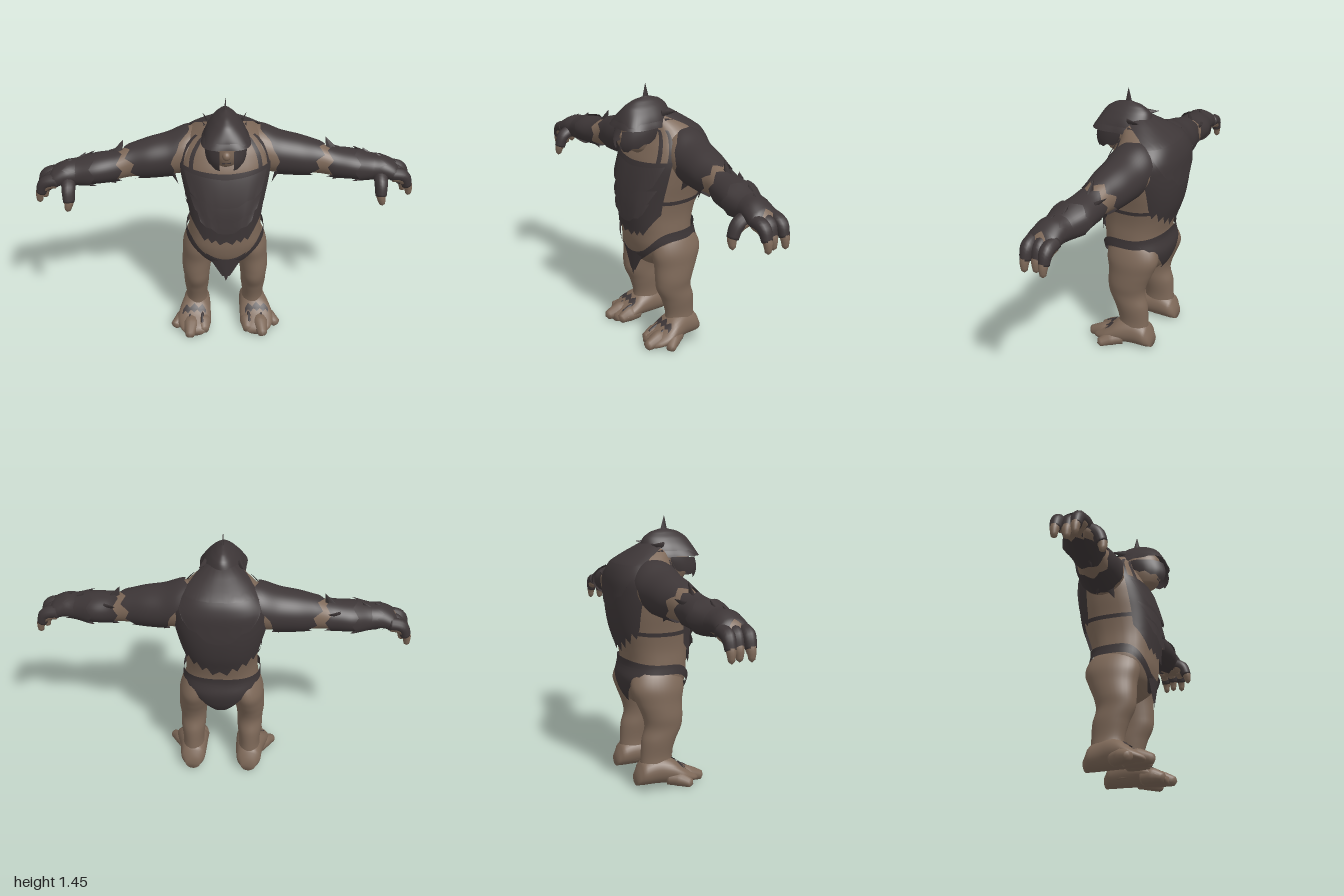
import * as THREE from 'three';
import { mergeVertices } from 'three/addons/utils/BufferGeometryUtils.js';

const { sin, cos, abs, max, min, sign, PI } = Math;
const flat = (name, color) => Object.assign(new THREE.MeshStandardMaterial({ color, side: THREE.DoubleSide }), { name });

// Grid surface from f(u, v) -> [x, y, z], with u and v in 0..1
function patch(name, mat, nu, nv, f) {
  const pos = [], idx = [];
  for (let j = 0; j <= nv; j++) for (let i = 0; i <= nu; i++) pos.push(...f(i / nu, j / nv));
  for (let j = 0; j < nv; j++) for (let i = 0; i < nu; i++) {
    const a = j * (nu + 1) + i, b = a + nu + 1;
    idx.push(a, a + 1, b, b, a + 1, b + 1);
  }
  let g = new THREE.BufferGeometry();
  g.setAttribute('position', new THREE.Float32BufferAttribute(pos, 3));
  g.setIndex(idx);
  g = mergeVertices(g, 1e-5);
  g.computeVertexNormals();
  const mesh = new THREE.Mesh(g, mat);
  mesh.name = name;
  return mesh;
}

// Smooth limb surface through sections [main, centre1, centre2, radius1, radius2]; power below 1 squares them
function limb(axis, rows, power = 1) {
  const at = (m, a, off = 0, k = 1) => {
    let i = 0;
    while (i < rows.length - 2 && m > rows[i + 1][0]) i++;
    const t = min(1, max(0, (m - rows[i][0]) / (rows[i + 1][0] - rows[i][0])));
    const [p, q, r, s] = [-1, 0, 1, 2].map(d => rows[min(rows.length - 1, max(0, i + d))]);
    const [c1, c2, r1, r2] = [1, 2, 3, 4].map(n =>
      q[n] + 0.5 * t * (r[n] - p[n] + t * (2 * p[n] - 5 * q[n] + 4 * r[n] - s[n] + t * (3 * (q[n] - r[n]) + s[n] - p[n]))));
    const A = k * (r1 + off), B = k * (r2 + off);
    const S = sign(sin(a)) * abs(sin(a)) ** power, C = sign(cos(a)) * abs(cos(a)) ** power;
    if (axis === 'y') return [c1 + S * A, m, c2 + C * B];
    if (axis === 'x') return [m, c1 + C * A, c2 + S * B];
    return [c1 + S * A, max(0, c2 + C * B), m];
  };
  at.lo = rows[0][0];
  at.hi = rows[rows.length - 1][0];
  return at;
}
const solid = (name, mat, s, nv = 40) => patch(name, mat, 32, nv, (u, v) => {
  const w = min(1, max(0, (v * nv - 1) / (nv - 2)));
  return s(s.lo + (s.hi - s.lo) * w, u * 2 * PI, 0, v === 0 || v === 1 ? 0 : 1);
});
// Armour shell lying on a limb; angle(u, v), start(u) and end(u) give its outline
const shell = (name, mat, s, angle, start, end, off = 0.014, nu = 48, nv = 20) => patch(name, mat, nu, nv,
  (u, v) => s(start(u) + (end(u) - start(u)) * v, angle(u, v), typeof off === 'function' ? off(u, v) : off));
const zig = (u, n) => abs(((u * n) % 1) * 2 - 1);

// Tapered rounded digit along a few points
function digit(name, mat, pts, radii) {
  const curve = new THREE.CatmullRomCurve3(pts.map(p => new THREE.Vector3(...p)));
  const n = 14, fr = curve.computeFrenetFrames(n);
  return patch(name, mat, 12, n, (u, v) => {
    const i = Math.round(v * n), e = v * (radii.length - 1), j = min(radii.length - 2, Math.floor(e));
    const r = i === 0 || i === n ? 0 : radii[j] + (radii[j + 1] - radii[j]) * (e - j);
    const p = curve.getPointAt(v).addScaledVector(fr.normals[i], r * cos(u * 2 * PI))
      .addScaledVector(fr.binormals[i], r * sin(u * 2 * PI));
    return [p.x, max(0, p.y), p.z];
  });
}
// Flattened spike from a base point to a tip
function spike(mat, from, to, r, flatX, flatZ) {
  const a = new THREE.Vector3(...from), d = new THREE.Vector3(...to).sub(a);
  const g = new THREE.ConeGeometry(r, d.length(), 6).translate(0, d.length() / 2, 0).scale(flatX, 1, flatZ);
  const m = new THREE.Mesh(g, mat);
  m.name = 'spike';
  m.position.copy(a);
  m.quaternion.setFromUnitVectors(new THREE.Vector3(0, 1, 0), d.normalize());
  return m;
}

const torso = limb('y', [
  [0.4, 0, -0.02, 0.05, 0.05], [0.44, 0, -0.015, 0.09, 0.11], [0.5, 0, -0.005, 0.16, 0.155], [0.58, 0, -0.003, 0.2, 0.175],
  [0.66, 0, 0.006, 0.198, 0.17], [0.75, 0, 0, 0.196, 0.182], [0.85, 0, -0.015, 0.21, 0.198], [0.95, 0, -0.028, 0.232, 0.2],
  [1.05, 0, -0.04, 0.248, 0.19], [1.13, 0, -0.055, 0.24, 0.17], [1.2, 0, -0.058, 0.19, 0.138], [1.25, 0, -0.025, 0.13, 0.1],
  [1.29, 0, 0.005, 0.072, 0.065], [1.31, 0, 0.02, 0.03, 0.03]], 0.82);
const head = limb('y', [
  [1.075, 0, 0.09, 0.035, 0.04], [1.11, 0, 0.105, 0.06, 0.08], [1.16, 0, 0.1, 0.078, 0.11], [1.22, 0, 0.085, 0.085, 0.125],
  [1.28, 0, 0.08, 0.075, 0.12], [1.32, 0, 0.07, 0.05, 0.085], [1.34, 0, 0.07, 0.02, 0.03]]);
const helmet = limb('y', [
  [1.19, 0, 0.07, 0.118, 0.155], [1.22, 0, 0.08, 0.112, 0.158], [1.25, 0, 0.083, 0.107, 0.152], [1.29, 0, 0.08, 0.09, 0.138],
  [1.33, 0, 0.075, 0.06, 0.115], [1.36, 0, 0.072, 0.027, 0.07], [1.375, 0, 0.07, 0.002, 0.01]]);
const arm = limb('x', [
  [0.08, 1.1, -0.06, 0.12, 0.1], [0.2, 1.09, -0.055, 0.124, 0.12], [0.3, 1.068, -0.045, 0.108, 0.11], [0.4, 1.055, -0.035, 0.098, 0.1],
  [0.5, 1.04, -0.025, 0.084, 0.08], [0.58, 1.022, -0.01, 0.073, 0.08], [0.68, 1.015, 0, 0.068, 0.088], [0.78, 1.005, 0.015, 0.06, 0.072],
  [0.84, 1.003, 0.025, 0.056, 0.072], [0.9, 0.985, 0.028, 0.046, 0.072], [0.94, 0.965, 0.028, 0.025, 0.055]]);
const leg = limb('y', [
  [0.03, 0.16, -0.05, 0.062, 0.085], [0.1, 0.163, -0.042, 0.064, 0.09], [0.16, 0.163, -0.04, 0.06, 0.088], [0.25, 0.163, -0.025, 0.07, 0.098],
  [0.32, 0.162, 0, 0.073, 0.105], [0.38, 0.162, -0.002, 0.08, 0.113], [0.46, 0.153, -0.018, 0.086, 0.13], [0.54, 0.143, -0.025, 0.09, 0.15],
  [0.62, 0.12, -0.02, 0.083, 0.135], [0.68, 0.1, -0.01, 0.05, 0.09]]);
const foot = limb('z', [
  [-0.16, 0.162, 0.035, 0.04, 0.035], [-0.13, 0.163, 0.065, 0.068, 0.065], [-0.05, 0.165, 0.08, 0.078, 0.08],
  [0.03, 0.175, 0.072, 0.09, 0.072], [0.09, 0.182, 0.05, 0.096, 0.05], [0.13, 0.18, 0.037, 0.09, 0.037],
  [0.165, 0.178, 0.027, 0.075, 0.027], [0.185, 0.18, 0.02, 0.05, 0.02]]);

export function createModel() {
  const skin = flat('skin', 0x7d6858), dark = flat('darkArmour', 0x3d3637);
  const model = new THREE.Group();
  model.name = 'armouredTroll';

  // Trunk and its plates
  model.add(solid('torso', skin, torso, 60));
  const fan = (mid, lo, hi, rate = 1) => (u, v) => mid + (u * 2 - 1) * (lo + (hi - lo) * min(1, v * rate));
  model.add(shell('chestPlate', dark, torso, fan(0, 0.6, 1.08, 4),
    u => 0.625 + 0.03 * abs(u * 2 - 1) + 0.025 * zig(u, 6), u => 1.05 + 0.025 * abs(u * 2 - 1), 0.014));
  [[1.02, 0.86, 0.9], [0.89, 0.77, 0.85], [0.81, 0.7, 0.7]].forEach(([top, bot, w]) =>
    model.add(shell('chestScale', dark, torso, fan(0, w * 0.8, w),
      u => bot + 0.07 * abs(u * 2 - 1) + 0.012 * zig(u, 4), u => top + 0.03 * abs(u * 2 - 1), (u, v) => 0.03 - 0.016 * v)));
  model.add(shell('backPlate', dark, torso, (u, v) => PI + (u * 2 - 1) * (1.0 + 0.3 * v + 0.7 * max(0, v - 0.7) + 2.5 * max(0, v - 0.84)),
    u => 0.71 + 0.12 * abs(u * 2 - 1) + 0.045 * zig(u, 8), () => 1.309, 0.016, 64, 30));
  model.add(shell('upperBackPlate', dark, torso, fan(PI, 0.7, 1.1),
    u => 0.95 + 0.13 * abs(u * 2 - 1) + 0.02 * zig(u, 4), () => 1.2, (u, v) => 0.025 - 0.008 * v));

  // Belt dipping below the belly, with front and rear cloth
  const beltY = a => 0.645 - (cos(a) > 0 ? 0.16 * cos(a) ** 3 : -0.02 * cos(a) ** 2);
  model.add(shell('belt', dark, torso, u => u * 2 * PI, u => beltY(u * 2 * PI) - 0.027, u => beltY(u * 2 * PI) + 0.025, 0.014, 64, 4));
  model.add(shell('rearCloth', dark, torso, fan(PI, 0.55, 1.25),
    u => 0.43 + 0.16 * (u * 2 - 1) ** 2, () => 0.65, 0.016));
  model.add(patch('frontCloth', dark, 16, 12, (u, v) => {
    const s = u * 2 - 1, w = 0.09 * (1 - v) + 0.022;
    return [s * w, 0.525 - v * (0.13 + 0.025 * zig(u, 2)) + 0.035 * s * s, 0.174 - 0.014 * v - 0.02 * s * s * (1 - v)];
  }));

  // Head and helmet, squared at the brim corners
  const brim = (u, v) => 0.004 + (cos(u * 2 * PI) > 0 ? 0.03 * sin(u * 4 * PI) ** 2 * (1 - v) ** 2 : 0);
  model.add(solid('head', skin, head));
  model.add(shell('helmet', dark, helmet, u => u * 2 * PI,
    u => 1.225 + 0.015 * max(0, cos(u * 2 * PI)) - 0.03 * max(0, -cos(u * 2 * PI)) + 0.012 * zig(u, 8), () => 1.375, brim, 64));
  model.add(shell('browRim', dark, helmet, u => u * 2 * PI, u => 1.232 - 0.015 * max(0, -cos(u * 2 * PI)), () => 1.262,
    (u, v) => brim(u, 0.2 * v) + 0.007 - 0.006 * v, 64, 4));
  model.add(spike(dark, [0, 1.35, 0.07], [0, 1.445, 0.072], 0.024, 0.35, 1));
  const nose = new THREE.Mesh(new THREE.SphereGeometry(0.022, 16, 12).scale(1, 1.1, 1.1).translate(0, 1.18, 0.206), skin);
  nose.name = 'nose';
  const mouth = new THREE.Mesh(new THREE.BoxGeometry(0.045, 0.007, 0.008).translate(0, 1.135, 0.197), dark);
  mouth.name = 'mouth';
  model.add(nose, mouth);

  for (const side of [1, -1]) {
    const half = new THREE.Group();
    half.name = side > 0 ? 'leftSide' : 'rightSide';
    half.scale.x = side;
    model.add(half);
    const add = (...m) => half.add(...m);

    // Face guard, eye and helmet fins
    add(shell('cheekGuard', dark, head, u => 0.3 + u * 1.4,
      u => 1.1 + 0.06 * u + 0.012 * zig(u, 3), u => 1.22 + 0.01 * u, (u, v) => 0.022 + (0.013 + 0.02 * (1 - v)) * (1 - u), 24, 8));
    const eye = new THREE.Mesh(new THREE.SphereGeometry(0.01, 10, 8).scale(1.6, 0.9, 0.5).translate(0.033, 1.215, 0.2), dark);
    eye.name = 'eye';
    add(eye, spike(dark, [0.085, 1.29, 0.03], [0.115, 1.3, -0.05], 0.022, 0.4, 1), spike(dark, [0.1, 1.25, 0.02], [0.125, 1.25, -0.07], 0.022, 0.4, 1));

    // Straps
    add(shell('sideStrap', dark, torso, u => 0.8 + u * 1.5, u => 0.835 - 0.01 * sin(u * PI), u => 0.857 - 0.01 * sin(u * PI), 0.008, 24, 2));
    [0.96, 0.66].forEach(a =>
      add(shell('shoulderStrap', dark, torso, (u, v) => a + u * 0.12 - v * 0.1, () => 1.02, () => 1.22, 0.012, 4, 16)));

    // Arm and its armour
    add(solid('arm', skin, arm, 60));
    const round = u => u * 2 * PI;
    add(shell('shoulderGuard', dark, arm, round, u => 0.265 - 0.1 * max(0, cos(round(u) + 0.3)) + 0.02 * zig(u, 8),
      u => 0.47 + 0.035 * zig(u, 7) + 0.03 * cos(round(u)), 0.012, 56));
    add(shell('forearmGuard', dark, arm, round, u => 0.54 + 0.03 * zig(u, 6), u => 0.81 + 0.04 * zig(u, 8), 0.011, 48));
    add(shell('wristGuard', dark, arm, round, u => 0.68 + 0.03 * zig(u, 6), () => 0.79, (u, v) => 0.022 - 0.012 * v, 48, 8));
    add(shell('handGuard', dark, arm, u => (u * 2 - 1) * 2.1, () => 0.78, u => 0.9 + 0.03 * zig(u, 3), 0.009, 36));
    [[[0.575, 1.07, -0.02], [0.533, 1.163, -0.03], 0.04], [[0.6, 1.06, -0.07], [0.55, 1.085, -0.11], 0.03],
      [[0.77, 1.05, 0], [0.73, 1.105, -0.01], 0.03], [[0.84, 1.04, 0.03], [0.8, 1.085, 0.02], 0.028],
      [[0.62, 0.96, 0.01], [0.58, 0.925, 0.01], 0.03], [[0.75, 0.96, 0.02], [0.71, 0.93, 0.02], 0.03],
      [[0.28, 0.98, 0], [0.25, 0.92, 0.02], 0.03], [[0.33, 0.97, -0.05], [0.3, 0.925, -0.06], 0.03]
    ].forEach(([a, b, r]) => add(spike(dark, a, b, r, 1, 0.4)));

    // Hooked fingers and thumb, armoured with bare tips
    [[-0.026, 0.978], [0.026, 0.955], [0.076, 0.976]].forEach(([z, x]) => {
      add(digit('finger', skin, [[0.88, 0.975, z], [x - 0.035, 0.96, z], [x, 0.915, z], [x + 0.008, 0.855, z]], [0.03, 0.029, 0.024, 0.013]));
      add(digit('fingerGuard', dark, [[0.87, 0.99, z], [x - 0.03, 0.972, z], [x, 0.905, z]], [0.036, 0.034, 0.025]));
    });
    add(digit('thumb', skin, [[0.83, 0.98, 0.06], [0.82, 0.945, 0.12], [0.82, 0.895, 0.15], [0.832, 0.84, 0.155]], [0.034, 0.032, 0.027, 0.013]));
    add(digit('thumbGuard', dark, [[0.825, 0.99, 0.05], [0.82, 0.955, 0.122], [0.82, 0.885, 0.152]], [0.038, 0.036, 0.029]));

    // Leg, foot, toes with a splayed outer one, and straps
    add(solid('leg', skin, leg, 50), solid('foot', skin, foot, 30));
    [[[0.135, 0.04, 0.04], [0.13, 0.038, 0.11], [0.125, 0.02, 0.18], 0.046],
      [[0.19, 0.045, 0.04], [0.2, 0.04, 0.13], [0.21, 0.02, 0.222], 0.046],
      [[0.21, 0.04, 0.0], [0.25, 0.036, 0.06], [0.305, 0.016, 0.12], 0.04]
    ].forEach(([a, b, c, r]) => add(digit('toe', skin, [a, b, c], [r, r, 0.022])));
    add(shell('toeStrap', dark, foot, u => (u * 2 - 1) * 0.7, u => 0.055 + 0.02 * zig(u, 3), u => 0.085 + 0.015 * zig(u, 4), 0.008, 24, 6));
    [[0.135, 0.135], [0.195, 0.205]].forEach(([x0, x1]) =>
      add(digit('toeBand', dark, [[x0, 0.09, 0.06], [x1, 0.08, 0.1], [x1, 0.058, 0.15]], [0.011, 0.011, 0.009])));
  }
  return model;
}
